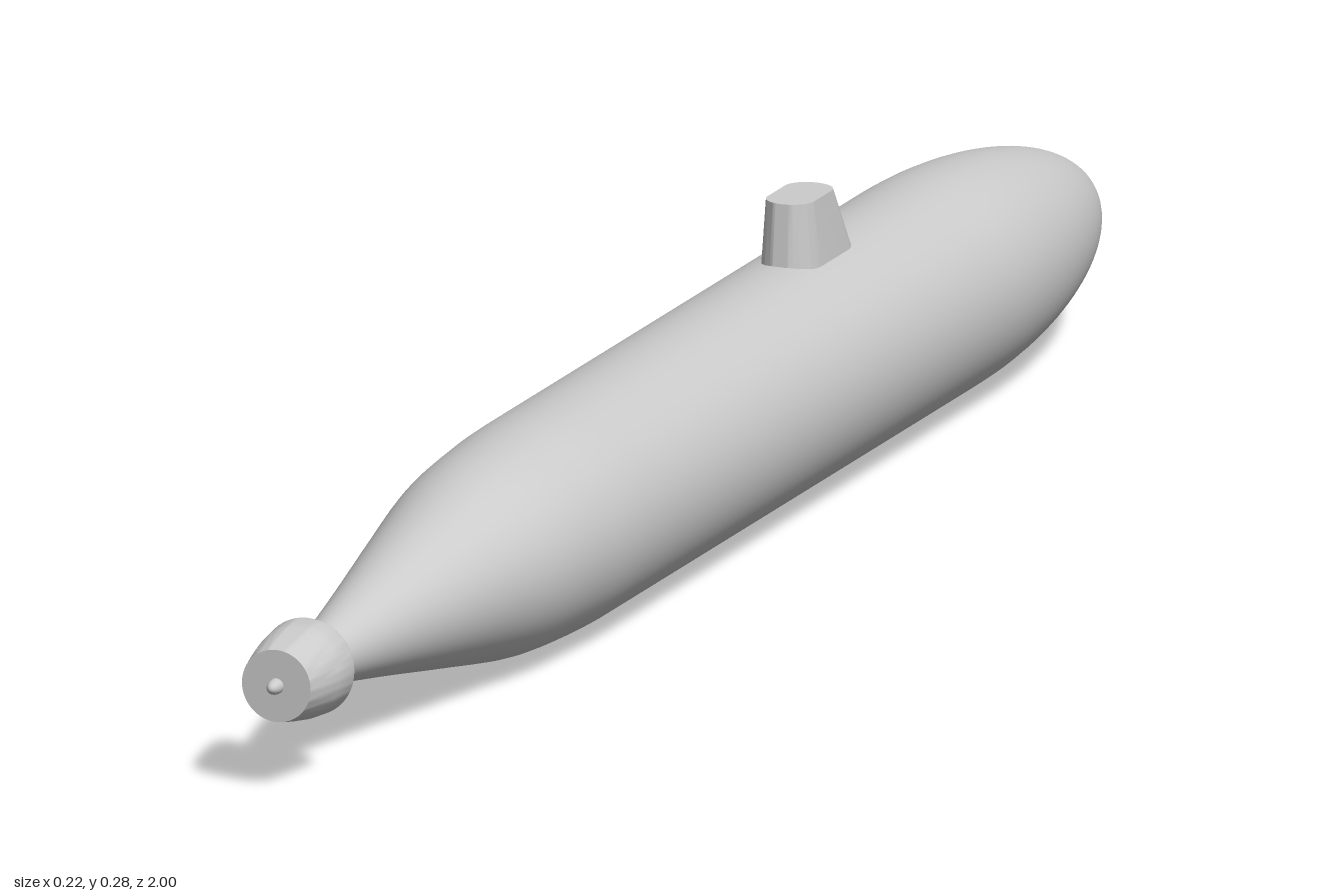
import * as THREE from 'three';
import { toCreasedNormals } from 'three/addons/utils/BufferGeometryUtils.js';

const R = 0.111; // hull radius and height of the hull axis
const material = new THREE.MeshStandardMaterial({ color: 0xcccccc });

function addMesh(group, name, geometry) {
  const mesh = new THREE.Mesh(geometry, material);
  mesh.name = name;
  group.add(mesh);
  return mesh;
}

// Revolve [radius, z] points around the hull axis
function revolve(points, segments = 64) {
  const geometry = new THREE.LatheGeometry(points.map(([r, z]) => new THREE.Vector2(r, z)), segments);
  return geometry.rotateX(Math.PI / 2).translate(0, R, 0);
}

// Elliptical nose, straight midbody and smoothly tapered stern
function hullGeometry() {
  const points = [];
  const noseLength = 0.38;
  for (let i = 0; i <= 24; i++) {
    const a = (i / 24) * Math.PI / 2;
    points.push([R * Math.sin(a), -1 + noseLength * (1 - Math.cos(a))]);
  }
  points.push([R, 0], [R, 0.3]);
  const taper = new THREE.SplineCurve([
    [R, 0.32], [0.109, 0.38], [0.101, 0.48], [0.079, 0.6], [0.05, 0.75], [0.021, 0.91],
  ].map(([r, z]) => new THREE.Vector2(r, z)));
  for (const p of taper.getPoints(28)) points.push([p.x, p.y]);
  return revolve(points);
}

// Rounded-ended plan extruded upward, narrowing with a raked leading edge
function sailGeometry() {
  const r = 0.5, h = 1; // unit-width plan, remapped below
  const plan = new THREE.Shape();
  plan.absarc(0, h - r, r, 0, Math.PI);
  plan.absarc(0, r - h, r, Math.PI, Math.PI * 2);
  plan.closePath();
  const geometry = new THREE.ExtrudeGeometry(plan, { depth: 1, bevelEnabled: false, curveSegments: 20 });
  geometry.rotateX(-Math.PI / 2);
  const bottom = 0.19, top = 0.285;
  const position = geometry.attributes.position;
  for (let i = 0; i < position.count; i++) {
    const t = position.getY(i);
    const width = THREE.MathUtils.lerp(0.066, 0.05, t);
    const front = THREE.MathUtils.lerp(-0.424, -0.367, t);
    const back = THREE.MathUtils.lerp(-0.27, -0.279, t);
    const s = (position.getZ(i) + h) / (2 * h);
    position.setXYZ(i, position.getX(i) * width, THREE.MathUtils.lerp(bottom, top, t), THREE.MathUtils.lerp(front, back, s));
  }
  return toCreasedNormals(geometry, 0.6);
}

export function createModel() {
  const model = new THREE.Group();
  model.name = 'submarine';

  addMesh(model, 'hull', hullGeometry());
  addMesh(model, 'sail', sailGeometry());

  // Closed propulsor shroud around the stern
  const shroud = revolve([[0, 0.9], [0.048, 0.9], [0.05, 0.905], [0.047, 0.935], [0.042, 0.962], [0.037, 0.984], [0, 0.984]]);
  addMesh(model, 'propulsorShroud', toCreasedNormals(shroud, 0.6));

  // Small domed hub on the end of the shaft
  const hub = addMesh(model, 'propulsorHub', new THREE.SphereGeometry(0.008, 20, 14));
  hub.scale.z = 2;
  hub.position.set(0, R, 0.984);

  return model;
}
